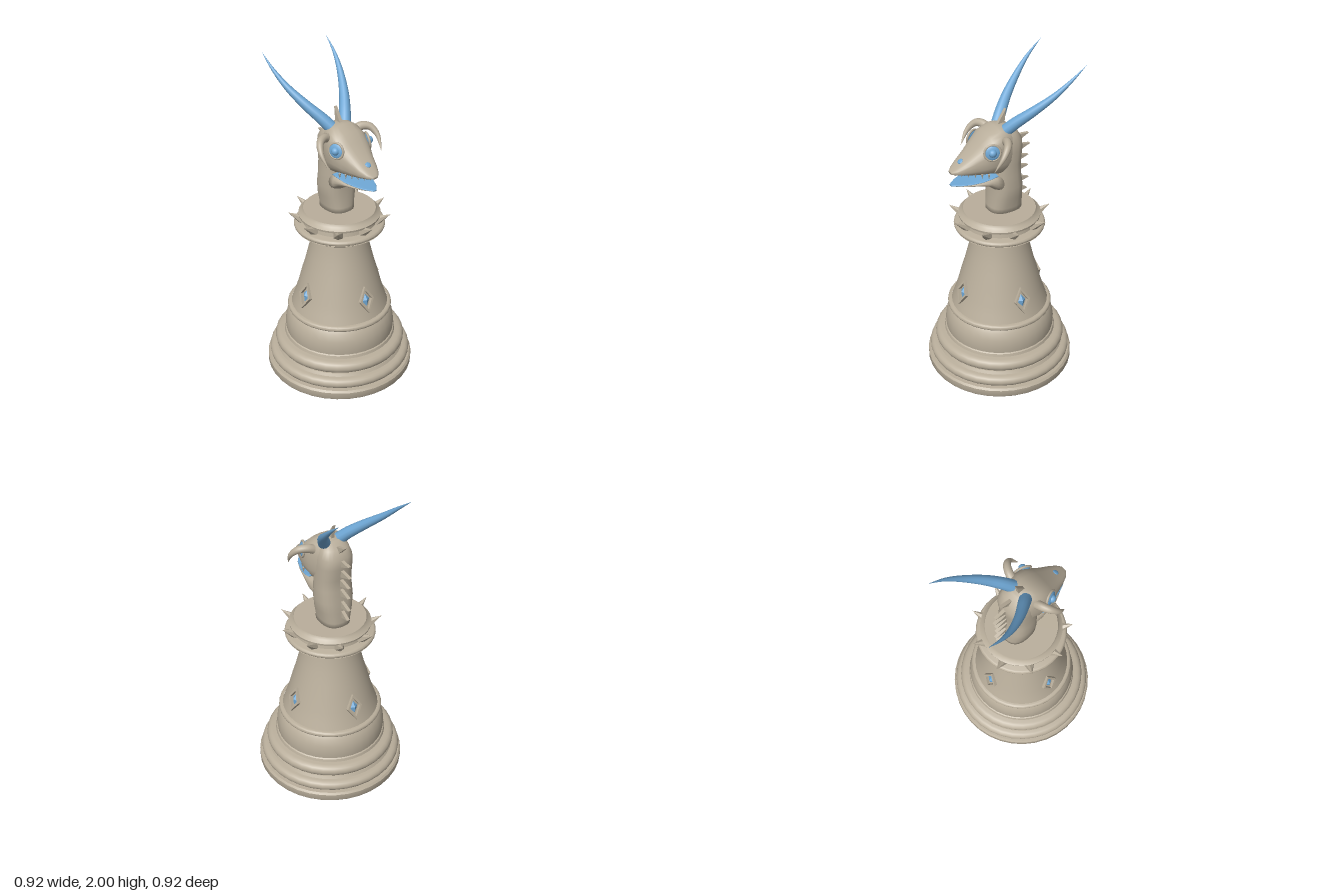
import * as THREE from 'three';
import { toCreasedNormals } from 'three/addons/utils/BufferGeometryUtils.js';

const material = (name, color) => {
  const m = new THREE.MeshStandardMaterial({ color });
  m.name = name;
  return m;
};

// Closed skin through elliptical rings [at, low, high, halfWidth], along z (head) or y (neck)
function loft(sections, alongY = false, power = 0.8, n = 24) {
  const pos = [], idx = [];
  const put = (w, v, at) => (alongY ? pos.push(w, at, v) : pos.push(w, v, at));
  const soft = (t) => Math.sign(t) * Math.abs(t) ** power;
  for (const [at, lo, hi, hw] of sections) {
    for (let j = 0; j < n; j++) {
      const a = (j / n) * Math.PI * 2;
      const c = soft(Math.cos(a)), s = soft(Math.sin(a));
      const mid = (lo + hi) / 2, half = (hi - lo) / 2;
      if (alongY) put(s * hw, mid + c * half, at);
      else put(c * hw, mid + s * half, at);
    }
  }
  const last = sections.length - 1;
  for (let i = 0; i < last; i++) {
    for (let j = 0; j < n; j++) {
      const a = i * n + j, b = i * n + (j + 1) % n;
      idx.push(a, b, b + n, a, b + n, a + n);
    }
  }
  for (const i of [0, last]) {
    const [at, lo, hi] = sections[i];
    const centre = pos.length / 3;
    put(0, (lo + hi) / 2, at);
    for (let j = 0; j < n; j++) {
      const a = i * n + j, b = i * n + (j + 1) % n;
      if (i === 0) idx.push(centre, b, a);
      else idx.push(centre, a, b);
    }
  }
  const g = new THREE.BufferGeometry();
  g.setAttribute('position', new THREE.Float32BufferAttribute(pos, 3));
  g.setIndex(idx);
  g.computeVertexNormals();
  return g;
}

// Tube along a curve that narrows to a point
function hornGeometry(points, radius, taper) {
  const curve = new THREE.CatmullRomCurve3(points.map((p) => new THREE.Vector3(...p)));
  const steps = 24, sides = 12;
  const g = new THREE.TubeGeometry(curve, steps, radius, sides);
  const p = g.attributes.position, v = new THREE.Vector3();
  for (let i = 0; i <= steps; i++) {
    const centre = curve.getPointAt(i / steps);
    const k = Math.max(0.01, 1 - (i / steps) ** taper);
    for (let j = 0; j <= sides; j++) {
      const at = i * (sides + 1) + j;
      v.fromBufferAttribute(p, at).sub(centre).multiplyScalar(k).add(centre);
      p.setXYZ(at, v.x, v.y, v.z);
    }
  }
  return g;
}

const polygon = (pts, Type = THREE.Shape) => new Type(pts.map(([x, y]) => new THREE.Vector2(x, y)));
const diamond = (w, h) => [[0, -h], [w, 0], [0, h], [-w, 0]];

// Rounded bead in a turned profile
const bead = (r, y, half) => Array.from({ length: 9 }, (_, i) => {
  const a = (i / 8 - 0.5) * Math.PI;
  return [r - half + Math.cos(a) * half, y + Math.sin(a) * half];
});

export function createModel() {
  const model = new THREE.Group();
  const stone = material('stone', 0xb9ae9b);
  const blue = material('blue', 0x6fa8d6);
  const add = (name, geometry, mat, parent = model) => {
    const mesh = new THREE.Mesh(geometry, mat);
    mesh.name = name;
    parent.add(mesh);
    return mesh;
  };

  // Turned pedestal
  const turned = (name, pts) => add(name, toCreasedNormals(
    new THREE.LatheGeometry(pts.map(([r, y]) => new THREE.Vector2(r, y)), 36), 0.6), stone);
  turned('base', [
    [0, 0], [0.455, 0], [0.46, 0.008], [0.46, 0.048], [0.45, 0.06],
    ...bead(0.445, 0.095, 0.033), [0.4, 0.13], [0.39, 0.147],
    ...bead(0.408, 0.187, 0.038), [0.35, 0.228], [0.345, 0.245], [0.338, 0.25],
    [0.342, 0.29], [0.335, 0.34], [0.32, 0.385], [0.305, 0.405],
    ...bead(0.325, 0.422, 0.017), [0.3, 0.44],
  ]);
  turned('body', [[0.302, 0.43], [0.285, 0.48], [0.262, 0.55], [0.236, 0.65], [0.215, 0.72],
    [0.195, 0.8], [0.178, 0.87], [0.166, 0.95]]);
  turned('collar', [[0.16, 0.94], [0.215, 0.945], [0.245, 0.965], [0.268, 0.98],
    ...bead(0.275, 0.998, 0.016), [0.225, 1.02], [0.22, 1.045], [0.245, 1.058], [0.247, 1.07],
    [0.225, 1.085], [0.218, 1.1], [0, 1.1]]);

  // Ring of spikes around the collar
  for (let i = 0; i < 9; i++) {
    const turn = new THREE.Group();
    turn.name = 'collarSpike';
    turn.rotation.y = (i * 40 * Math.PI) / 180;
    model.add(turn);
    const spike = add('spike', new THREE.ConeGeometry(0.034, 0.11, 6).toNonIndexed(), stone, turn);
    spike.geometry.computeVertexNormals();
    spike.position.set(0, 1.055, 0.262);
    spike.rotation.x = 1.02;
  }

  // Framed gems on the four sides
  const frameShape = polygon(diamond(0.052, 0.086));
  frameShape.holes.push(polygon(diamond(0.036, 0.062), THREE.Path));
  for (let i = 0; i < 4; i++) {
    const turn = new THREE.Group(), seat = new THREE.Group();
    turn.name = 'gemOrnament';
    turn.rotation.y = (i * Math.PI) / 2;
    seat.position.set(0, 0.565, 0.25);
    seat.rotation.x = -0.28;
    turn.add(seat);
    model.add(turn);
    add('gemFrame', new THREE.ExtrudeGeometry(frameShape, { depth: 0.024, bevelEnabled: false }), stone, seat);
    const gem = add('gem', new THREE.OctahedronGeometry(1), blue, seat);
    gem.scale.set(0.037, 0.063, 0.024);
  }

  // Neck, skull and jaw
  add('neck', loft([
    [1.09, -0.135, 0.08, 0.09], [1.13, -0.135, 0.077, 0.09], [1.2, -0.132, 0.07, 0.106],
    [1.27, -0.128, 0.068, 0.114], [1.35, -0.118, 0.07, 0.11], [1.42, -0.117, 0.07, 0.108],
    [1.5, -0.128, 0.07, 0.108], [1.56, -0.125, 0.06, 0.104], [1.61, -0.095, 0.04, 0.088],
    [1.645, -0.05, 0.02, 0.06],
  ], true), stone);
  add('head', loft([
    [-0.09, 1.47, 1.58, 0.06], [-0.06, 1.4, 1.63, 0.09], [-0.02, 1.36, 1.66, 0.108],
    [0.04, 1.36, 1.655, 0.125], [0.1, 1.38, 1.625, 0.127], [0.15, 1.385, 1.578, 0.11],
    [0.2, 1.393, 1.53, 0.088], [0.26, 1.405, 1.482, 0.066], [0.3, 1.414, 1.453, 0.045],
    [0.325, 1.42, 1.435, 0.02],
  ], false, 0.75), stone);
  const jaw = [
    [0.02, 1.24, 1.38, 0.1], [0.07, 1.265, 1.378, 0.106], [0.11, 1.3, 1.37, 0.102],
    [0.16, 1.32, 1.358, 0.09], [0.22, 1.331, 1.352, 0.072], [0.28, 1.339, 1.348, 0.046],
    [0.325, 1.343, 1.346, 0.012],
  ];
  add('lowerJaw', loft(jaw), stone);
  add('mouthLining', loft(jaw.slice(1).map(([z, , top, w]) => [z, top - 0.004, top + 0.004, w]), false, 0.5), blue);

  // Nostril on the snout
  const nostril = add('nostril', new THREE.SphereGeometry(1, 16, 10), blue);
  nostril.scale.set(0.018, 0.005, 0.017);
  nostril.position.set(0, 1.483, 0.26);
  nostril.rotation.x = 0.65;

  // Paired features
  for (const s of [1, -1]) {
    const side = s > 0 ? 'left' : 'right';
    add(side + 'CrownHorn', hornGeometry([[0.05 * s, 1.63, -0.015], [0.085 * s, 1.68, -0.06],
      [0.135 * s, 1.745, -0.13], [0.19 * s, 1.835, -0.235], [0.22 * s, 1.92, -0.33],
      [0.23 * s, 2.0, -0.425]], 0.037, 1.3), blue);
    add(side + 'CheekHorn', hornGeometry([[0.09 * s, 1.585, 0.02], [0.135 * s, 1.602, 0.03],
      [0.18 * s, 1.595, 0.055], [0.204 * s, 1.55, 0.095], [0.192 * s, 1.465, 0.15]], 0.027, 1.7), stone);

    // Eye socket, rim and eyeball
    const eye = new THREE.Group();
    eye.name = side + 'Eye';
    eye.position.set(0.114 * s, 1.548, 0.115);
    eye.rotation.set(-0.15, s * 1.2, 0, 'YXZ');
    model.add(eye);
    const socket = add('eyeSocket', new THREE.SphereGeometry(0.045, 20, 12), blue, eye);
    socket.scale.z = 0.3;
    add('eyeRim', new THREE.TorusGeometry(0.046, 0.007, 8, 24), stone, eye);
    const ball = add('eyeball', new THREE.SphereGeometry(0.024, 16, 12), blue, eye);
    ball.position.z = 0.008;

    // Teeth along the upper jaw
    for (let i = 0; i < 6; i++) {
      const z = 0.13 + i * 0.035;
      const tooth = add(side + 'Tooth', new THREE.ConeGeometry(0.008, 0.032, 6), stone);
      tooth.position.set(s * (0.1 - 0.085 * ((z - 0.13) / 0.18)), 1.39 + (z - 0.13) * 0.17, z);
      tooth.rotation.x = Math.PI;
    }
  }

  // Flat spines down the back: base centre [z, y], tip [z, y]
  const spines = [
    [0, 1.635, -0.037, 1.74], [-0.07, 1.595, -0.155, 1.648], [-0.105, 1.53, -0.195, 1.547],
    [-0.11, 1.465, -0.205, 1.475], [-0.105, 1.4, -0.195, 1.403], [-0.105, 1.335, -0.195, 1.333],
    [-0.115, 1.255, -0.2, 1.25], [-0.12, 1.19, -0.19, 1.178],
  ];
  for (const [z, y, tz, ty] of spines) {
    const d = new THREE.Vector2(tz - z, ty - y).normalize().multiplyScalar(0.026);
    const shape = polygon([[-z - d.y, y - d.x], [-tz, ty], [-z + d.y, y + d.x]]);
    const g = new THREE.ExtrudeGeometry(shape, { depth: 0.02, bevelEnabled: false });
    g.translate(0, 0, -0.01).rotateY(Math.PI / 2);
    add('backSpine', g, stone);
  }
  return model;
}
